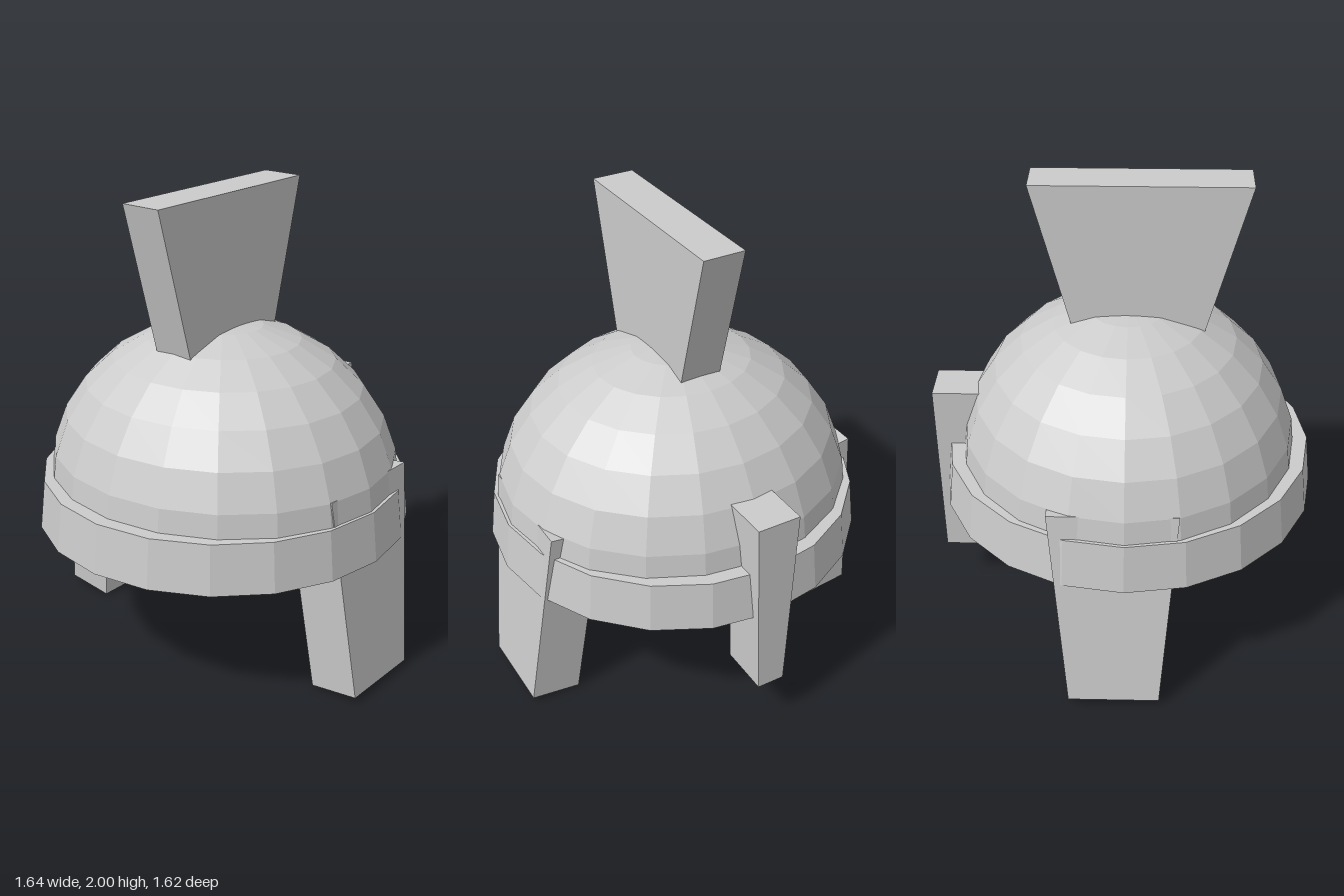
import * as THREE from 'three';

const material = new THREE.MeshStandardMaterial({ color: 0xcccccc, flatShading: true });

function addPart(group, name, geometry) {
  const mesh = new THREE.Mesh(geometry, material);
  mesh.name = name;
  group.add(mesh);
  return mesh;
}

// Unit box reshaped by a rule: place(sx, top, sz) gives each corner's position
function shapedBox(place) {
  const geometry = new THREE.BoxGeometry(1, 1, 1);
  const p = geometry.attributes.position;
  for (let i = 0; i < p.count; i++) {
    p.setXYZ(i, ...place(Math.sign(p.getX(i)), p.getY(i) > 0, Math.sign(p.getZ(i))));
  }
  geometry.computeVertexNormals();
  return geometry;
}

export function createModel() {
  const group = new THREE.Group();
  const sides = 20;
  const centreZ = 0.015;

  // Faceted half-ellipsoid skull cap
  const dome = new THREE.SphereGeometry(1, sides, 7, 0, Math.PI * 2, 0, Math.PI / 2);
  dome.scale(0.77, 0.71, 0.72).translate(0, 0.74, centreZ);
  addPart(group, 'dome', dome);

  // Flared brow band, closed underneath
  const band = new THREE.CylinderGeometry(0.775, 0.798, 0.21, sides);
  band.translate(0, 0.695, centreZ);
  addPart(group, 'browBand', band);

  // Crest fin, widening upward and sunk into the dome
  addPart(group, 'crest', shapedBox((sx, top, sz) => [
    sx * 0.09,
    top ? 2 : 1.2,
    sz > 0 ? (top ? 0.5 : 0.28) : (top ? -0.375 : -0.165),
  ]));

  // Cheek guards, splayed outward and narrowing downward
  for (const side of [1, -1]) {
    addPart(group, side > 0 ? 'leftCheekGuard' : 'rightCheekGuard', shapedBox((sx, top, sz) => {
      const outer = sx === side;
      return [
        side * (outer ? (top ? 0.72 : 0.82) : (top ? 0.505 : 0.605)),
        (top ? 0.875 : 0) + (outer ? 0.027 : 0),
        sz > 0 ? (top ? 0.23 : 0.16) : (top ? -0.29 : -0.215),
      ];
    }));
  }

  // Neck guard at the back, widening upward
  addPart(group, 'neckGuard', shapedBox((sx, top, sz) => [
    sx * (top ? 0.095 : 0.06),
    top ? 1.06 : 0.23,
    sz > 0 ? -0.59 : -0.81,
  ]));

  return group;
}
